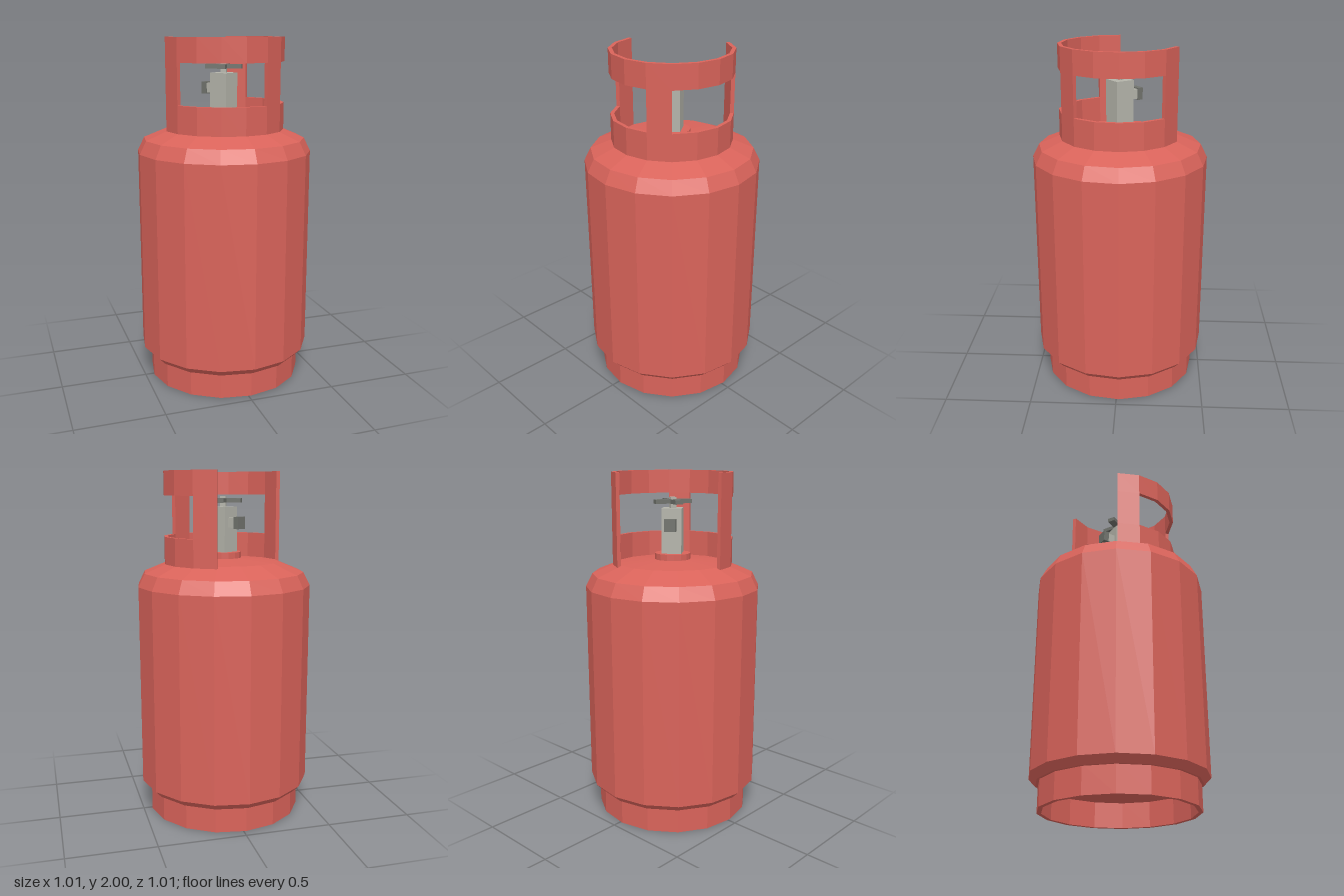
import * as THREE from 'three';

const rad = THREE.MathUtils.degToRad;
const SIDES = 16;
const STEP = 360 / SIDES;
const TURN = rad(2); // slight twist of the sixteen-sided body

const material = (color, side = THREE.FrontSide) =>
  new THREE.MeshStandardMaterial({ color, side, flatShading: true });

export function createModel() {
  const model = new THREE.Group();
  model.name = 'gasCylinder';
  const red = material(0xd9635a);
  const redThin = material(0xd9635a, THREE.DoubleSide);
  const steel = material(0xb4b4aa);
  const dark = material(0x70726c);

  const add = (parent, name, geometry, mat, x = 0, y = 0, z = 0) => {
    const mesh = new THREE.Mesh(geometry, mat);
    mesh.name = name;
    mesh.position.set(x, y, z);
    parent.add(mesh);
    return mesh;
  };
  const lathe = (points) => new THREE.LatheGeometry(
    points.map(([r, y]) => new THREE.Vector2(r, y)), SIDES, TURN);

  // Tank with chamfered edges and a shallow dome
  add(model, 'tank', lathe([
    [0, 0.147], [0.465, 0.147], [0.503, 0.187], [0.503, 1.355],
    [0.465, 1.43], [0.32, 1.49], [0, 1.52],
  ]), red);

  // Open foot ring
  add(model, 'footRing', lathe([[0.425, 0.15], [0.425, 0], [0.45, 0], [0.45, 0.16]]), redThin);

  // Valve boss on the dome
  add(model, 'valveBoss', lathe([[0.103, 1.49], [0.103, 1.545], [0, 1.545]]), red);

  // Collar: faceted bands, open towards the back right
  const collar = new THREE.Group();
  collar.name = 'collar';
  model.add(collar);
  const START = -69.5;
  const band = (name, first, count, y0, y1) => {
    const arc = (r) => Array.from({ length: count + 1 }, (_, i) => {
      const a = rad(START + (first + i) * STEP);
      return new THREE.Vector2(r * Math.cos(a), -r * Math.sin(a));
    });
    const shape = new THREE.Shape([...arc(0.345), ...arc(0.323).reverse()]);
    const geometry = new THREE.ExtrudeGeometry(shape, { depth: y1 - y0, bevelEnabled: false });
    geometry.rotateX(-Math.PI / 2);
    add(collar, name, geometry, red, 0, y0, 0);
  };
  band('collarBase', 0, 11, 1.46, 1.635);
  band('collarGrip', 0, 11, 1.865, 2);
  [0, 5, 10].forEach((segment, i) => band(`collarPost${i + 1}`, segment, 1, 1.635, 1.865));

  // Valve block with its outlet towards the back right
  const valve = new THREE.Group();
  valve.name = 'valve';
  valve.rotation.y = rad(36);
  model.add(valve);
  add(valve, 'valveBody', new THREE.BoxGeometry(0.112, 0.27, 0.112), steel, 0, 1.665, 0);
  add(valve, 'outletNeck', new THREE.BoxGeometry(0.055, 0.055, 0.06), steel, 0, 1.712, -0.075);
  add(valve, 'outletCap', new THREE.BoxGeometry(0.066, 0.068, 0.033), dark, 0, 1.712, -0.117);

  // Stem and cross-shaped hand wheel
  const wheel = new THREE.Group();
  wheel.name = 'handWheel';
  wheel.rotation.y = rad(-26.5);
  model.add(wheel);
  add(wheel, 'stem', new THREE.BoxGeometry(0.032, 0.07, 0.032), steel, 0, 1.825, 0);
  add(wheel, 'wheelBarLong', new THREE.BoxGeometry(0.21, 0.024, 0.045), dark, 0, 1.836, 0);
  add(wheel, 'wheelBarCross', new THREE.BoxGeometry(0.045, 0.023, 0.215), dark, 0, 1.836, 0);

  return model;
}
